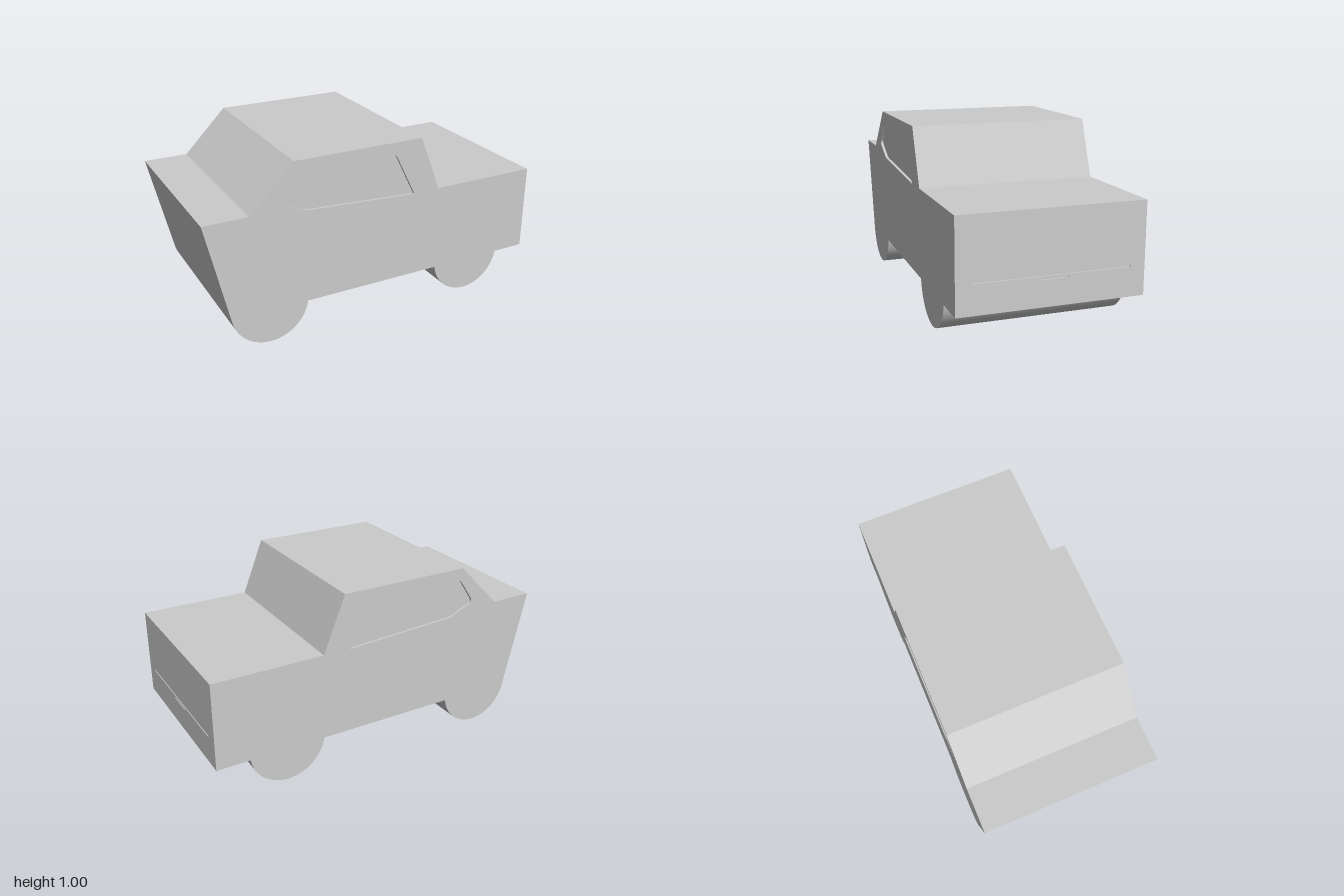
import * as THREE from 'three';
import { toCreasedNormals } from 'three/addons/utils/BufferGeometryUtils.js';

const HALF_WIDTH = 0.5, RECESS = 0.015, SLIT = 0.01;
const FLOOR = 0.188, HOOD = 0.685, NOSE_X = 1 - SLIT;
const material = new THREE.MeshStandardMaterial({ color: 0xcccccc });

// Side outline of the car, wheels included
function sideOutline() {
  const r = 0.22, a = Math.asin((r - FLOOR) / r);
  const s = new THREE.Shape();
  s.moveTo(-1, FLOOR);
  for (const x of [-0.656, 0.592]) s.absarc(x, r, r, Math.PI + a, 2 * Math.PI - a, false);
  s.lineTo(NOSE_X, FLOOR);
  s.lineTo(NOSE_X, HOOD);
  s.lineTo(0.372, HOOD);
  s.lineTo(0.247, 1);
  s.lineTo(-0.503, 1);
  s.lineTo(-0.75, 0.75);
  s.lineTo(-1, 0.75);
  s.closePath();
  return s;
}

// Side window with rounded corners
function windowOutline() {
  const p = new THREE.Path();
  p.moveTo(0.214, 0.682);
  p.lineTo(-0.42, 0.718);
  p.quadraticCurveTo(-0.45, 0.72, -0.47, 0.732);
  p.lineTo(-0.565, 0.777);
  p.quadraticCurveTo(-0.588, 0.788, -0.572, 0.812);
  p.lineTo(-0.505, 0.912);
  p.quadraticCurveTo(-0.49, 0.935, -0.465, 0.935);
  p.lineTo(0.06, 0.935);
  p.quadraticCurveTo(0.088, 0.935, 0.1, 0.91);
  p.closePath();
  return p;
}

function rectangle(Type, x0, y0, x1, y1) {
  return new Type([[x0, y0], [x1, y0], [x1, y1], [x0, y1]].map(([x, y]) => new THREE.Vector2(x, y)));
}

function extrude(name, shape, depth) {
  const geometry = new THREE.ExtrudeGeometry(shape, { depth, bevelEnabled: false, curveSegments: 32 });
  const mesh = new THREE.Mesh(toCreasedNormals(geometry, 0.4), material);
  mesh.name = name;
  return mesh;
}

export function createModel() {
  const group = new THREE.Group();
  group.name = 'car';

  // Solid body with the wheels
  const inner = HALF_WIDTH - RECESS;
  const body = extrude('body', sideOutline(), 2 * inner);
  body.position.z = -inner;
  group.add(body);

  // Side skins, each with a sunken window
  for (const [name, z] of [['frontSidePanel', inner], ['backSidePanel', -HALF_WIDTH]]) {
    const outline = sideOutline();
    outline.holes.push(windowOutline());
    const panel = extrude(name, outline, RECESS);
    panel.position.z = z;
    group.add(panel);
  }

  // Nose plate with a long slit and a short one below it
  const plate = rectangle(THREE.Shape, -HALF_WIDTH, FLOOR, HALF_WIDTH, HOOD);
  plate.holes.push(
    rectangle(THREE.Path, -0.42, 0.346, 0.42, 0.354),
    rectangle(THREE.Path, -0.08, 0.328, 0.08, 0.335)
  );
  const nose = extrude('nosePlate', plate, SLIT);
  nose.rotation.y = Math.PI / 2;
  nose.position.x = NOSE_X;
  group.add(nose);

  return group;
}
